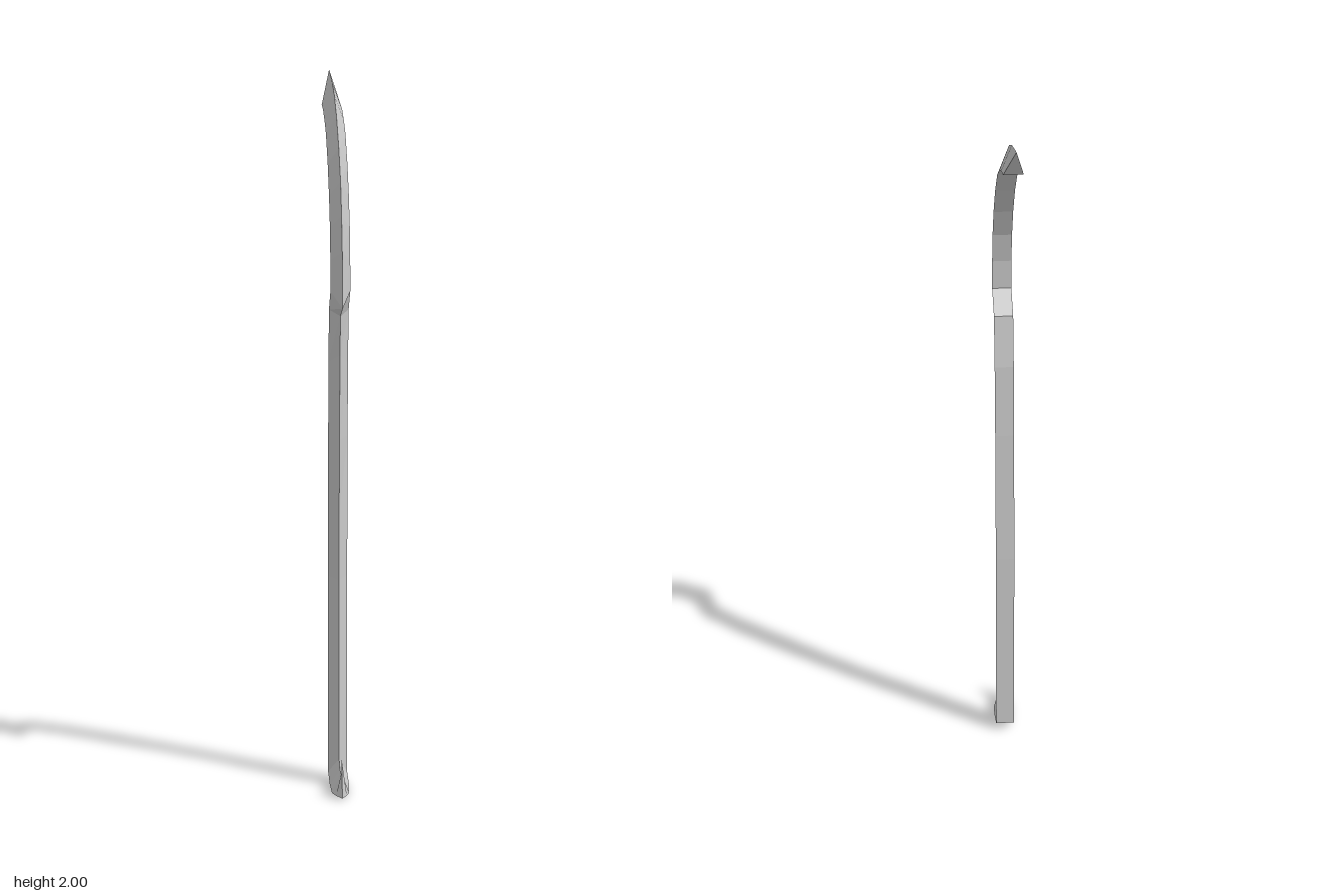
import * as THREE from 'three';

const W = 0.027; // half width of the flat back

// Each station: [edge z, edge y, back z, back y, half width of back]
const hookStations = [
  [0.253, 0.115, 0.283, 0.012, 0],
  [0.241, 0.073, 0.245, 0.008, 0.015],
  [0.222, 0.062, 0.21, 0.005, 0.024],
  [0.19, 0.063, 0.16, 0.013, W],
  [0.145, 0.083, 0.083, 0.028, W],
];
const handleStations = [
  [0.145, 0.083, 0.083, 0.028, W],
  [0.143, 0.3, 0.083, 0.3, W],
  [0.14, 0.6, 0.082, 0.6, W],
  [0.146, 0.787, 0.087, 0.787, W],
  [0.161, 1.0, 0.094, 1.0, W],
  [0.177, 1.237, 0.108, 1.21, W],
  [0.2, 1.348, 0.13, 1.358, W],
  [0.283, 1.378, 0.193, 1.416, W],
];
const bladeStations = [
  [0.283, 1.378, 0.193, 1.416, W],
  [0.267, 1.528, 0.19, 1.5, W],
  [0.24, 1.623, 0.172, 1.586, W],
  [0.2, 1.713, 0.135, 1.67, W],
  [0.13, 1.797, 0.077, 1.755, W],
  [0.034, 1.882, 0.003, 1.83, W],
  [-0.055, 1.935, -0.055, 1.863, W],
  [-0.14, 1.967, -0.13, 1.893, W],
  [-0.282, 2.0, -0.188, 1.903, W],
];

// Lofts a triangular section: one sharp edge at x = 0 and a flat back
function loft(name, stations, capEnd) {
  const rings = stations.map(([ez, ey, bz, by, w]) => [[0, ey, ez], [w, by, bz], [-w, by, bz]]);
  const pos = [];
  const tri = (a, b, c) => pos.push(...a, ...b, ...c);
  for (let i = 0; i < rings.length - 1; i++) {
    const a = rings[i], b = rings[i + 1];
    for (let k = 0; k < 3; k++) {
      const n = (k + 1) % 3;
      tri(a[k], a[n], b[n]);
      tri(a[k], b[n], b[k]);
    }
  }
  if (capEnd) tri(...rings[rings.length - 1]);
  const geometry = new THREE.BufferGeometry();
  geometry.setAttribute('position', new THREE.Float32BufferAttribute(pos, 3));
  geometry.computeVertexNormals();
  const material = new THREE.MeshStandardMaterial({ color: 0xcccccc, flatShading: true });
  const mesh = new THREE.Mesh(geometry, material);
  mesh.name = name;
  return mesh;
}

export function createModel() {
  const group = new THREE.Group();
  group.name = 'sickleSword';
  group.add(
    loft('pommelHook', hookStations, false),
    loft('handle', handleStations, false),
    loft('curvedBlade', bladeStations, true),
  );
  return group;
}
